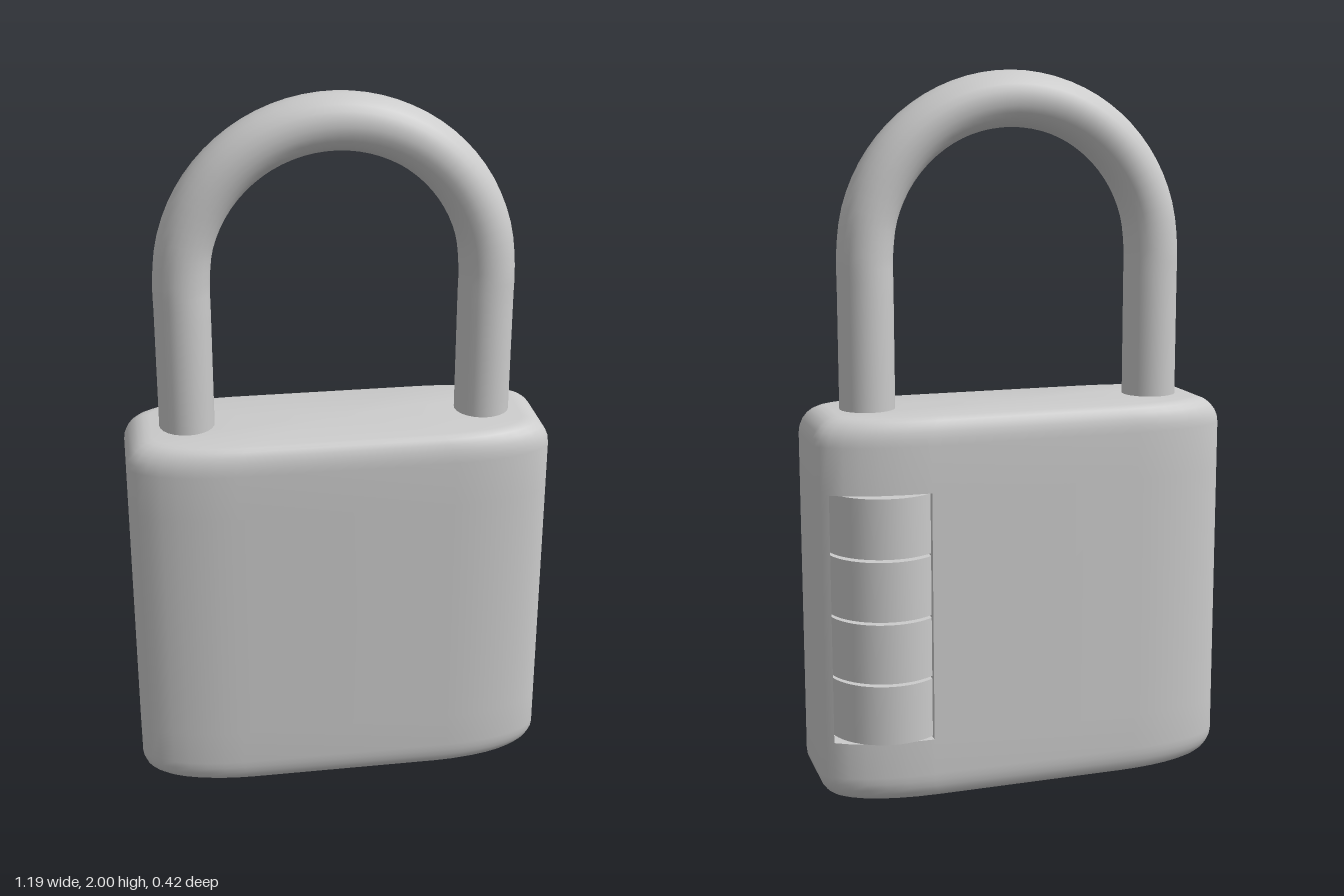
import * as THREE from 'three';
import { toCreasedNormals } from 'three/addons/utils/BufferGeometryUtils.js';

const CZ = 0.005;                      // depth centre of body and shackle
const SLOT = { y0: 0.18, y1: 0.88, xIn: 0.29, floor: -0.03 };
const material = new THREE.MeshStandardMaterial({ color: 0xcccccc, roughness: 0.7 });

// Plan outline of the body: [x, z, belongsToSlot], counterclockwise from above
function bodyOutline() {
  const points = [];
  const corner = (deg, slot = false) => {
    const a = THREE.MathUtils.degToRad(deg);
    const c = Math.cos(a), s = Math.sin(a);
    // Flats run between the four elliptical corners
    const sx = deg < 90.5 || deg > 270 ? 1 : -1;
    const sz = deg < 180 ? -1 : 1;
    points.push([sx * 0.3 + 0.293 * c, sz * 0.095 - 0.11 * s, slot]);
  };
  // Back corner on the model's left carries the dial slot
  for (const d of [0, 9, 18, 27.5]) corner(d);
  for (const d of [27.5, 40, 52, 64, 77, 90]) corner(d, true);
  points.push([SLOT.xIn, -0.205, true], [SLOT.xIn, -0.205, false]);
  for (const start of [91, 181, 271]) {
    for (let i = 0; i <= 8; i++) corner(start + i * 11.1);
  }
  return points;
}

// Body: stacked outlines with rounded rims and a recessed slot
function bodyGeometry() {
  const outline = bodyOutline();
  const bottom = 0.003, top = 1.085, round = 0.075, steps = 6;
  const levels = [];
  for (let i = 0; i <= steps; i++) {
    const a = (i / steps) * Math.PI / 2;
    levels.push({ y: bottom + round * (1 - Math.cos(a)), inset: 1 - Math.sin(a) });
  }
  const upper = levels.map(l => ({ y: top + bottom - l.y, inset: l.inset })).reverse();
  levels.push(
    { y: SLOT.y0, inset: 0 }, { y: SLOT.y0, inset: 0, slot: true },
    { y: SLOT.y1, inset: 0, slot: true }, { y: SLOT.y1, inset: 0 }, ...upper);

  const rings = levels.map(({ y, inset, slot }) => outline.map(([x, z, inSlot]) =>
    new THREE.Vector3(
      x * (1 - inset * 0.075 / 0.593),
      y,
      slot && inSlot ? SLOT.floor : CZ + z * (1 - inset * 0.035 / 0.205))));

  const positions = [];
  const triangle = (a, b, c) => {
    if (new THREE.Triangle(a, b, c).getArea() < 1e-8) return;
    for (const p of [a, b, c]) positions.push(p.x, p.y, p.z);
  };
  const n = outline.length;
  for (let r = 0; r < rings.length - 1; r++) {
    for (let i = 0; i < n; i++) {
      const j = (i + 1) % n;
      triangle(rings[r][i], rings[r][j], rings[r + 1][j]);
      triangle(rings[r][i], rings[r + 1][j], rings[r + 1][i]);
    }
  }
  // Top and bottom caps
  const last = rings[rings.length - 1];
  const topCentre = new THREE.Vector3(0, top, CZ);
  const bottomCentre = new THREE.Vector3(0, bottom, CZ);
  for (let i = 0; i < n; i++) {
    const j = (i + 1) % n;
    triangle(topCentre, last[i], last[j]);
    triangle(bottomCentre, rings[0][j], rings[0][i]);
  }
  const geometry = new THREE.BufferGeometry();
  geometry.setAttribute('position', new THREE.Float32BufferAttribute(positions, 3));
  return toCreasedNormals(geometry, 0.7);
}

// Shackle: two straight legs joined by a half-round bow
function shackleGeometry() {
  const half = 0.418, spring = 1.505;
  const points = [[-half, 1.0], [-half, 1.25], [-half, 1.42]];
  for (let i = 0; i <= 12; i++) {
    const a = Math.PI * (1 - i / 12);
    points.push([half * Math.cos(a), spring + half * Math.sin(a)]);
  }
  points.push([half, 1.42], [half, 1.25], [half, 1.0]);
  const path = new THREE.CatmullRomCurve3(points.map(([x, y]) => new THREE.Vector3(x, y, CZ)));
  return new THREE.TubeGeometry(path, 64, 0.077, 24, false);
}

export function createModel() {
  const group = new THREE.Group();
  const add = (name, geometry, parent = group) => {
    const mesh = new THREE.Mesh(geometry, material);
    mesh.name = name;
    parent.add(mesh);
    return mesh;
  };

  add('body', bodyGeometry());
  add('shackle', shackleGeometry());

  // Four stacked number dials sitting in the slot
  const dials = new THREE.Group();
  dials.name = 'dials';
  group.add(dials);
  const pitch = (SLOT.y1 - SLOT.y0) / 4;
  const dialGeometry = new THREE.CylinderGeometry(0.165, 0.165, pitch - 0.008, 48);
  for (let i = 0; i < 4; i++) {
    const dial = add(`dial${i + 1}`, dialGeometry, dials);
    dial.position.set(0.39, SLOT.y0 + pitch * (i + 0.5), -0.05);
  }
  return group;
}
